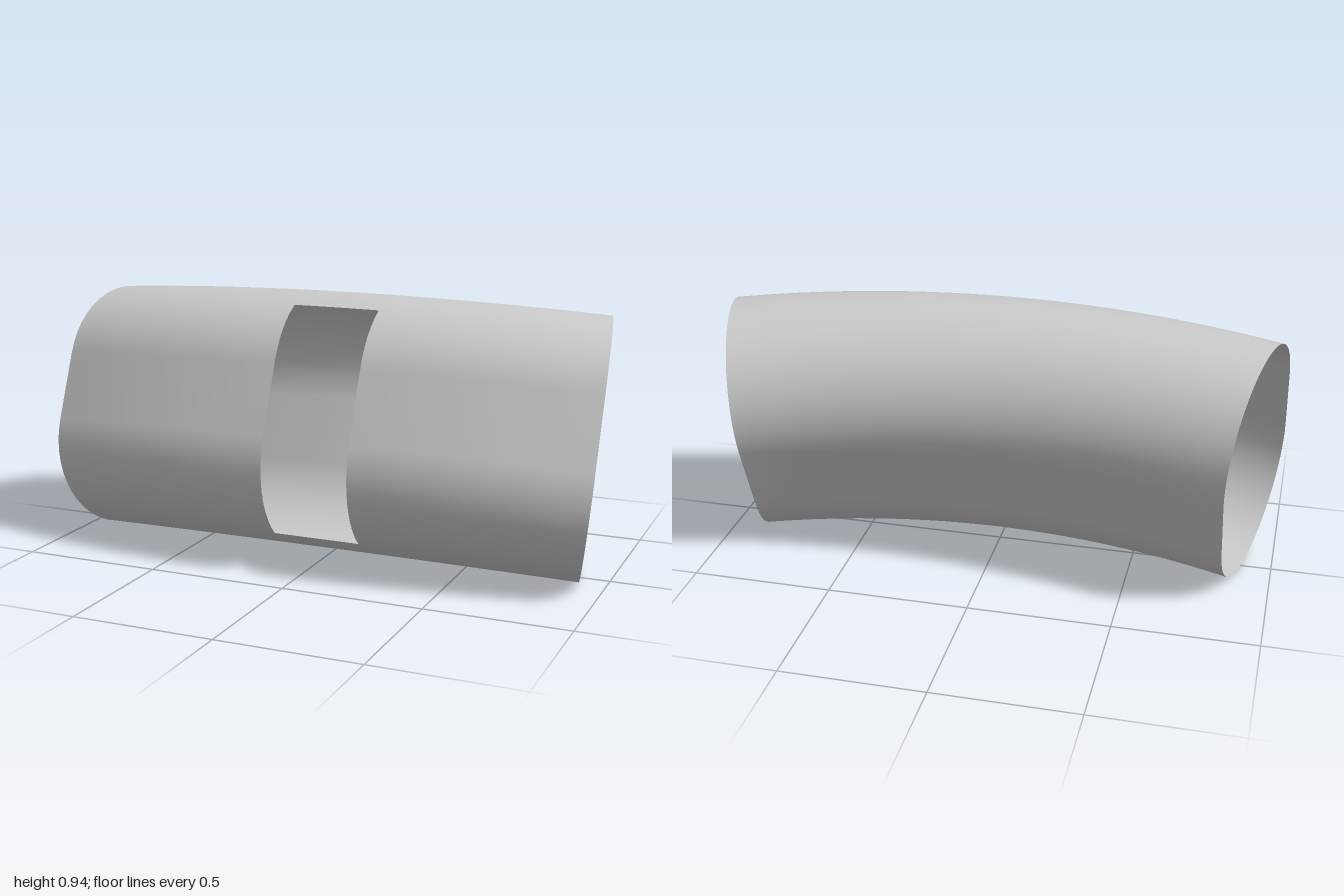
import * as THREE from 'three';

const BEND = 3.8;                 // bend radius of the tube's centre line
const END = 0.2443;               // half of the bend angle
const RADIUS = 0.33, HALF = 0.127; // rounded ends and half straight of the section
const TILT = THREE.MathUtils.degToRad(22);
const SLOT = { left: -0.113, right: 0.2, top: 43, bottom: -69.4 };

// Oval section as [u, v, inSlot] points, counter-clockwise from the slot's lower edge
function sectionPoints() {
  const rows = [];
  const arc = (from, to, steps, centre, inSlot, last) => {
    for (let i = 0; i < steps + (last ? 1 : 0); i++) {
      const a = THREE.MathUtils.degToRad(from + (to - from) * i / steps);
      rows.push([RADIUS * Math.cos(a), centre + RADIUS * Math.sin(a), inSlot]);
    }
  };
  arc(SLOT.bottom, 0, 10, -HALF, true, true);
  arc(0, SLOT.top, 6, HALF, true, false);
  arc(SLOT.top, 180, 18, HALF, false, true);
  arc(180, 360 + SLOT.bottom, 16, -HALF, false, false);
  return rows;
}

// Bent open sleeve, leaving out the faces of the slot
function sleeveGeometry() {
  const rows = sectionPoints(), n = rows.length;
  const side = 10, mid = 4, cols = side * 2 + mid;
  const pos = [], index = [];
  for (let j = 0; j <= cols; j++) {
    for (const [u, v] of rows) {
      const r = BEND + u;
      const a0 = Math.asin(SLOT.left / r), a1 = Math.asin(SLOT.right / r);
      let a;
      if (j <= side) a = THREE.MathUtils.lerp(-END, a0, j / side);
      else if (j <= side + mid) a = THREE.MathUtils.lerp(a0, a1, (j - side) / mid);
      else a = THREE.MathUtils.lerp(a1, END, (j - side - mid) / side);
      const depth = r * Math.cos(a) - BEND;
      pos.push(
        r * Math.sin(a),
        0.4925 + depth * Math.sin(TILT) + v * Math.cos(TILT),
        0.0475 + depth * Math.cos(TILT) - v * Math.sin(TILT)
      );
    }
  }
  for (let j = 0; j < cols; j++) {
    for (let i = 0; i < n; i++) {
      if (rows[i][2] && j >= side && j < side + mid) continue;
      const k = (i + 1) % n;
      const a = j * n + i, b = a + n, c = (j + 1) * n + k, d = j * n + k;
      index.push(a, b, c, a, c, d);
    }
  }
  const geometry = new THREE.BufferGeometry();
  geometry.setAttribute('position', new THREE.Float32BufferAttribute(pos, 3));
  geometry.setIndex(index);
  geometry.computeVertexNormals();
  return geometry;
}

export function createModel() {
  const group = new THREE.Group();
  group.name = 'slottedSleeve';
  const material = new THREE.MeshStandardMaterial({ color: 0xcccccc, side: THREE.DoubleSide });
  const sleeve = new THREE.Mesh(sleeveGeometry(), material);
  sleeve.name = 'sleeve';
  group.add(sleeve);
  return group;
}
